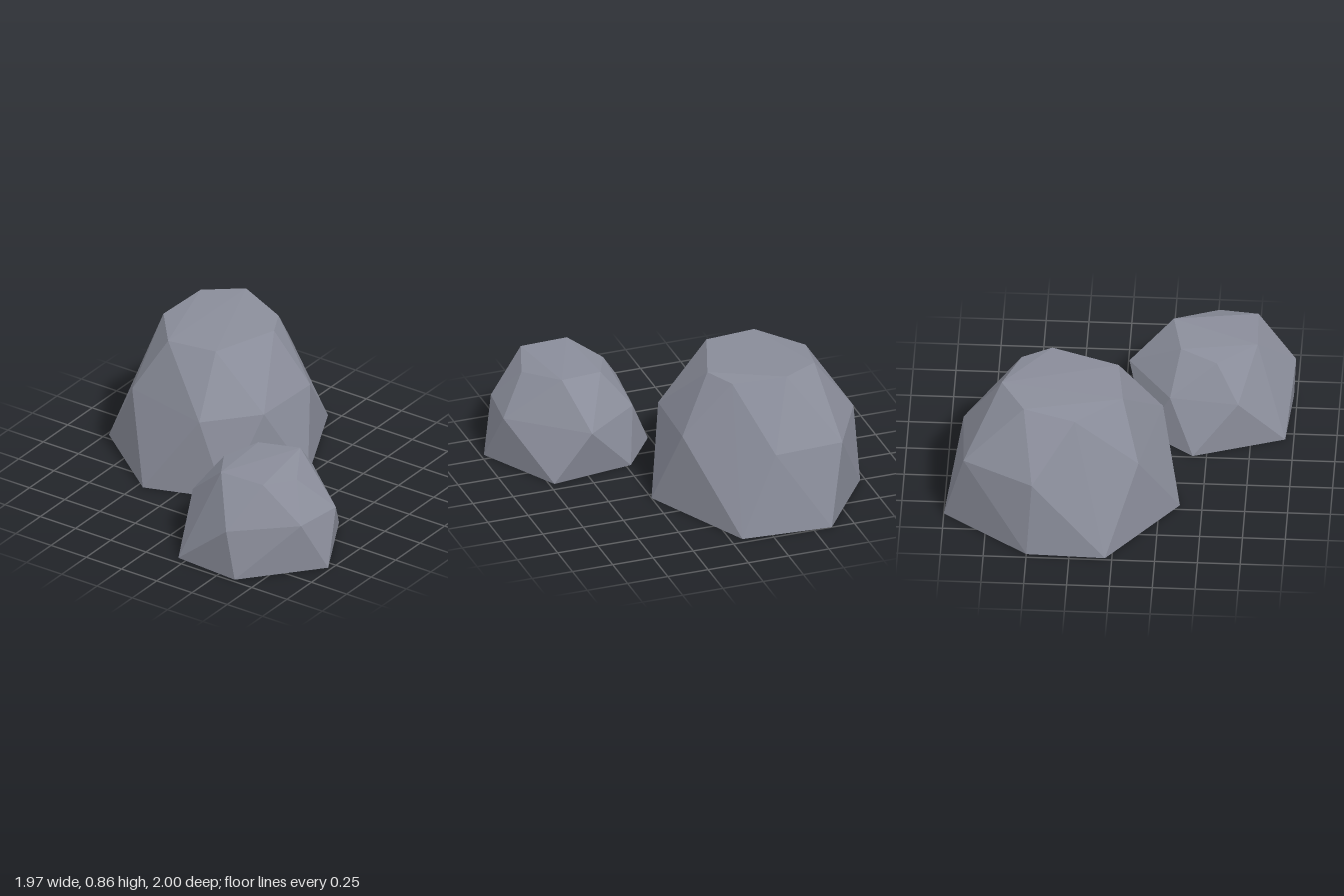
import * as THREE from 'three';
import { ConvexGeometry } from 'three/addons/geometries/ConvexGeometry.js';

const stone = new THREE.MeshStandardMaterial({ color: 0x8a8d9a, flatShading: true });
stone.name = 'grey stone';

// A faceted boulder: the convex skin around three rings of [x, y, z] corners
function boulder(name, ...rings) {
  const points = rings.flat().map(([x, y, z]) => new THREE.Vector3(x, y, z));
  const mesh = new THREE.Mesh(new ConvexGeometry(points), stone);
  mesh.name = name;
  return mesh;
}

// Level ring at height y from [x, z] corners
const ring = (y, corners) => corners.map(([x, z]) => [x, y, z]);

export function createModel() {
  const group = new THREE.Group();
  group.name = 'boulders';

  // Seven-sided tall rock with an uneven crown
  group.add(boulder('largeBoulder',
    ring(0, [[-0.61, -1], [-0.07, -0.96], [0.25, -0.295], [0.01, 0.21], [-0.46, 0.37], [-0.985, -0.04], [-0.97, -0.5]]),
    ring(0.48, [[-0.3, -0.9], [0.13, -0.49], [0.115, -0.04], [-0.14, 0.255], [-0.695, 0.14], [-0.94, -0.47], [-0.72, -0.88]]),
    [[-0.45, 0.857, -0.67], [-0.15, 0.815, -0.57], [-0.06, 0.822, -0.395], [-0.2, 0.818, 0], [-0.51, 0.81, 0.04],
      [-0.73, 0.8, -0.23], [-0.675, 0.84, -0.53]]));

  // Six-sided low rock
  group.add(boulder('smallBoulder',
    ring(0, [[0.615, 0.98], [0.98, 0.55], [0.72, 0.065], [0.22, 0.135], [0.01, 0.42], [0.195, 0.95]]),
    ring(0.31, [[0.565, 0.995], [0.885, 0.69], [0.92, 0.385], [0.5, 0.025], [0.155, 0.28], [0.11, 0.68]]),
    [[0.595, 0.555, 0.28], [0.75, 0.51, 0.54], [0.67, 0.552, 0.77], [0.38, 0.552, 0.78], [0.24, 0.51, 0.55], [0.335, 0.535, 0.335]]));

  return group;
}
